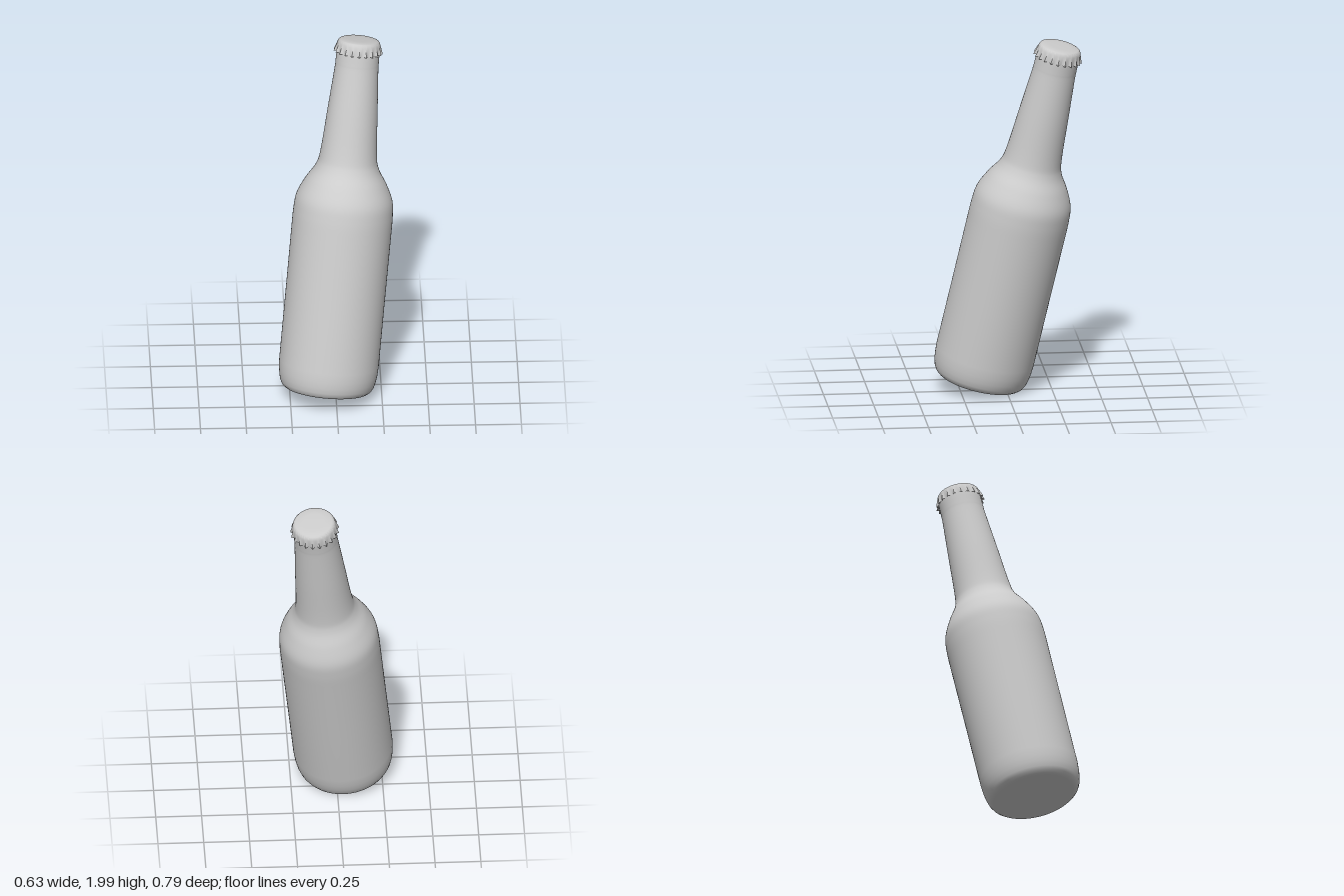
import * as THREE from 'three';
import { toCreasedNormals } from 'three/addons/utils/BufferGeometryUtils.js';

const material = new THREE.MeshStandardMaterial({ color: 0xcccccc, side: THREE.DoubleSide });
const v2 = ([r, y]) => new THREE.Vector2(r, y);

// Glass body: rounded foot, straight wall, curved shoulder, tapering neck
function makeBottle() {
  const foot = [[0, 0], [0.12, 0], [0.215, 0], [0.232, 0.004], [0.246, 0.016], [0.256, 0.035],
    [0.264, 0.065], [0.269, 0.1], [0.272, 0.15], [0.272, 0.5]].map(v2);
  const shoulder = new THREE.SplineCurve([[0.273, 0.9], [0.272, 1.0], [0.262, 1.085], [0.222, 1.173],
    [0.173, 1.255], [0.154, 1.34], [0.136, 1.585], [0.12, 1.8], [0.118, 1.85], [0.117, 1.91],
    [0.112, 1.945]].map(v2));
  const geometry = new THREE.LatheGeometry([...foot, ...shoulder.getPoints(60)], 96);
  const mesh = new THREE.Mesh(geometry, material);
  mesh.name = 'bottle';
  return mesh;
}

// Crown cap: domed edge and a flared skirt pinched into 21 teeth
function makeCap() {
  const teeth = 21;
  const profile = [[0.114, 1.917], [0.121, 1.906], [0.1205, 1.92], [0.1195, 1.935], [0.118, 1.95],
    [0.115, 1.961], [0.109, 1.969], [0.1, 1.973], [0.06, 1.975], [0, 1.975]].map(v2);
  const geometry = new THREE.LatheGeometry(profile, teeth * 8);
  const p = geometry.attributes.position;
  for (let i = 0; i < p.count; i++) {
    const x = p.getX(i), y = p.getY(i), z = p.getZ(i), r = Math.hypot(x, z);
    if (r < 0.1155 || y > 1.955) continue;
    const ridge = 1 - Math.abs(Math.sin(Math.atan2(x, z) * teeth / 2));
    const flare = THREE.MathUtils.clamp((1.953 - y) / 0.045, 0, 1);
    const s = 1 + 0.014 * ridge * flare / r;
    p.setXYZ(i, x * s, y - 0.004 * ridge * flare, z * s);
  }
  const mesh = new THREE.Mesh(toCreasedNormals(geometry, 0.6), material);
  mesh.name = 'cap';
  return mesh;
}

export function createModel() {
  const group = new THREE.Group();
  group.name = 'tiltedBottle';
  group.add(makeBottle(), makeCap());
  // Lean the whole bottle back and towards its left
  const axis = new THREE.Vector3(0.1, 1, -0.2224).normalize();
  group.quaternion.setFromUnitVectors(new THREE.Vector3(0, 1, 0), axis);
  group.position.set(-0.052, 0.056, 0.143);
  return group;
}
